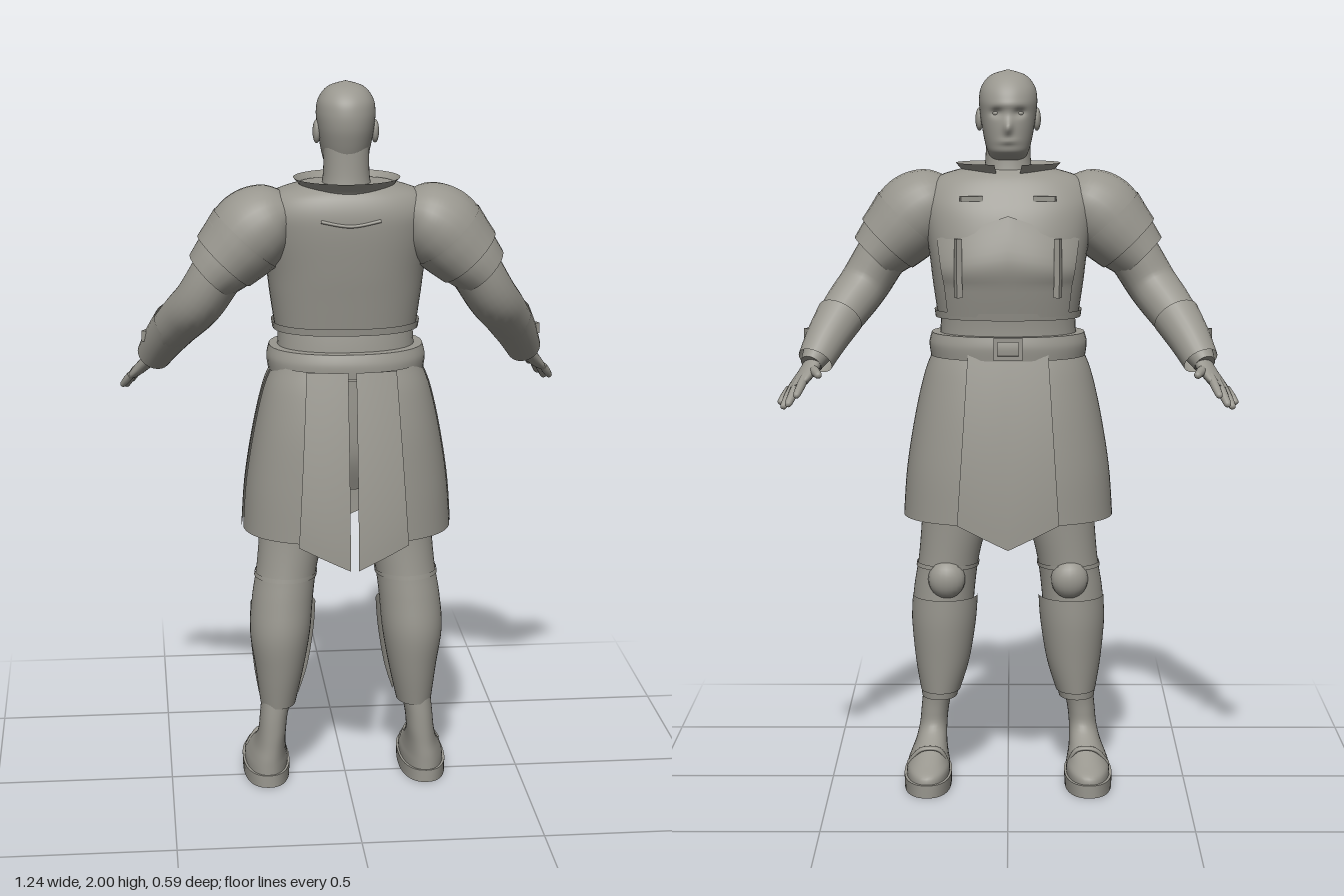
import * as THREE from 'three';

const stone = new THREE.MeshStandardMaterial({ color: 0x99978f, side: THREE.DoubleSide });
stone.name = 'stone grey';

const V = (x, y, z) => new THREE.Vector3(x, y, z);
const lerp = THREE.MathUtils.lerp;
const rad = THREE.MathUtils.degToRad;
const bell = (d, s) => Math.exp(-(d * d) / (s * s));

// Grid surface: fn(u, v) gives a point; wrap closes it along u, caps close both ends.
function surface(nu, nv, fn, wrap = false, caps = false) {
  const pos = [], idx = [], cols = wrap ? nu : nu + 1;
  for (let i = 0; i <= nv; i++)
    for (let j = 0; j < cols; j++) pos.push(...fn(j / nu, i / nv).toArray());
  for (let i = 0; i < nv; i++)
    for (let j = 0; j < nu; j++) {
      const k = (j + 1) % cols, a = i * cols + j, b = a + cols, c = i * cols + k, d = c + cols;
      idx.push(a, b, c, c, b, d);
    }
  if (caps) for (const v of [0, 1]) {
    const base = pos.length / 3, mid = V(0, 0, 0);
    for (let j = 0; j < nu; j++) {
      const p = fn(j / nu, v);
      mid.addScaledVector(p, 1 / nu);
      pos.push(...p.toArray());
    }
    pos.push(...mid.toArray());
    for (let j = 0; j < nu; j++) {
      const a = base + j, b = base + (j + 1) % nu;
      v ? idx.push(base + nu, b, a) : idx.push(base + nu, a, b);
    }
  }
  const g = new THREE.BufferGeometry();
  g.setAttribute('position', new THREE.Float32BufferAttribute(pos, 3));
  g.setIndex(idx);
  g.computeVertexNormals();
  return g;
}

// Smooth interpolation through rows of numbers
function rowAt(rows, t) {
  const f = t * (rows.length - 1), i = Math.min(Math.floor(f), rows.length - 2), u = f - i;
  const at = k => rows[Math.max(0, Math.min(rows.length - 1, k))];
  return rows[0].map((_, c) => {
    const [a, b, d, e] = [at(i - 1)[c], at(i)[c], at(i + 1)[c], at(i + 2)[c]];
    return b + 0.5 * u * (d - a + u * (2 * a - 5 * b + 4 * d - e + u * (3 * (b - d) + e - a)));
  });
}

// Upright loft; each row is [y, centre x, half width, back z, front z]
function loft(rows, { from = 0, to = 360, e = 0.9, caps = false, seg = 40, nv = rows.length * 4, warp } = {}) {
  return surface(seg, nv, (u, v) => {
    const [y, cx, hx, zb, zf] = rowAt(rows, v), a = rad(lerp(from, to, u));
    const c = Math.cos(a), s = Math.sin(a), sq = n => Math.sign(n) * Math.abs(n) ** e;
    const p = V(cx + hx * sq(c), y, (zb + zf) / 2 + (zb - zf) / 2 * sq(s));
    if (warp) warp(p);
    return p;
  }, to - from === 360, caps);
}

// Tube along a curve; each row is [x, y, z, thickness radius, radius along ref]
function limb(rows, { ref = V(0, 0, 1), seg = 24, caps = true } = {}) {
  return surface(seg, rows.length * 4, (u, v) => {
    const r = rowAt(rows, v), p = rowAt(rows, Math.max(0, v - 0.01)), q = rowAt(rows, Math.min(1, v + 0.01));
    const t = V(q[0] - p[0], q[1] - p[1], q[2] - p[2]).normalize();
    const b = ref.clone().addScaledVector(t, -ref.dot(t)).normalize(), n = b.clone().cross(t);
    const a = -u * Math.PI * 2;
    return V(r[0], r[1], r[2]).addScaledVector(n, r[3] * Math.cos(a)).addScaledVector(b, r[4] * Math.sin(a));
  }, true, caps);
}

function mirrored(g) {
  const m = g.clone().scale(-1, 1, 1), ix = m.index.array;
  for (let i = 0; i < ix.length; i += 3) [ix[i], ix[i + 1]] = [ix[i + 1], ix[i]];
  m.computeVertexNormals();
  return m;
}

const ball = (x, y, z, a, b, c) => new THREE.SphereGeometry(1, 20, 14).scale(a, b, c).translate(x, y, z);
const box = (x, y, z, w, h, d, ry = 0) => new THREE.BoxGeometry(w, h, d).rotateY(ry).translate(x, y, z);

export function createModel() {
  const model = new THREE.Group();
  model.name = 'armouredFigure';
  const add = (name, g) => {
    const m = new THREE.Mesh(g, stone);
    m.name = name;
    model.add(m);
  };
  const pair = (name, g) => { add(name + 'Left', g); add(name + 'Right', mirrored(g)); };

  // Head with sculpted brow, eye sockets, nose and lips, facing -z
  add('head', loft([
    [1.755, 0, 0.045, 0.065, -0.03], [1.775, 0, 0.055, 0.08, -0.074], [1.80, 0, 0.063, 0.095, -0.083],
    [1.84, 0, 0.071, 0.11, -0.085], [1.88, 0, 0.077, 0.12, -0.083], [1.92, 0, 0.08, 0.12, -0.082],
    [1.955, 0, 0.073, 0.108, -0.064], [1.985, 0, 0.048, 0.075, -0.03], [2.0, 0, 0.003, 0.025, 0.015],
  ], { seg: 80, nv: 56, e: 0.95, caps: true, warp: p => {
    if (p.z > 0) return;
    const x = Math.abs(p.x), y = p.y;
    p.z += 0.013 * bell(x - 0.032, 0.016) * bell(y - 1.885, 0.011)
      - 0.02 * bell(x, 0.011) * bell(y - 1.845, 0.02) - 0.006 * bell(x, 0.024) * bell(y - 1.808, 0.008)
      - 0.004 * bell(x, 0.05) * bell(y - 1.907, 0.01);
  } }));
  pair('eye', ball(0.032, 1.883, -0.054, 0.012, 0.009, 0.012));
  pair('ear', ball(0.079, 1.865, 0.025, 0.011, 0.032, 0.02));
  add('neck', loft([[1.66, 0, 0.085, 0.12, -0.05], [1.74, 0, 0.064, 0.105, -0.03], [1.83, 0, 0.062, 0.1, -0.025]]));

  // Flared collar, open at the throat
  add('collar', loft([[1.675, 0, 0.115, 0.15, -0.055], [1.71, 0, 0.118, 0.155, -0.06], [1.745, 0, 0.145, 0.185, -0.087]],
    { from: -75, to: 255, e: 1 }));

  // Breastplate with a projecting lower chest plate
  const chest = [
    [1.33, 0, 0.195, 0.14, -0.14], [1.42, 0, 0.208, 0.155, -0.158], [1.50, 0, 0.218, 0.168, -0.165],
    [1.60, 0, 0.235, 0.18, -0.14], [1.66, 0, 0.235, 0.18, -0.11], [1.705, 0, 0.2, 0.165, -0.08],
    [1.73, 0, 0.125, 0.14, -0.05],
  ];
  add('cuirass', loft(chest, { caps: true, seg: 56, e: 0.85 }));
  const grow = (r, d) => [r[0], r[1], r[2] + d, r[3] + d, r[4] - d];
  add('chestPlate', loft([[1.335, 0, 0.2, 0.14, -0.146], [1.41, 0, 0.21, 0.15, -0.164],
    [1.49, 0, 0.222, 0.165, -0.178], [1.61, 0, 0.235, 0.17, -0.143]],
    { from: -142, to: -38, e: 0.8, warp: p => { p.y -= 0.35 * Math.abs(p.x) * Math.max(0, (p.y - 1.42) / 0.2); } }));
  add('cuirassHem', loft([grow([1.325, 0, 0.195, 0.14, -0.14], 0.006), grow([1.345, 0, 0.198, 0.143, -0.144], 0.006)],
    { e: 0.85 }));
  pair('chestClasp', box(0.1, 1.655, -0.112, 0.06, 0.014, 0.02, 0.2));
  pair('chestStrap', box(0.135, 1.47, -0.156, 0.016, 0.16, 0.02, 0.4));
  add('backTrim', limb([[-0.08, 1.645, 0.174, 0.005, 0.008], [0, 1.632, 0.178, 0.005, 0.008], [0.08, 1.645, 0.174, 0.005, 0.008]]));

  // Waist, belt and buckle
  add('waist', loft([[1.2, 0, 0.195, 0.155, -0.125], [1.29, 0, 0.188, 0.145, -0.125], [1.35, 0, 0.185, 0.135, -0.13]]));
  add('belt', loft([[1.215, 0, 0.215, 0.185, -0.15], [1.25, 0, 0.219, 0.185, -0.153], [1.28, 0, 0.212, 0.175, -0.147]],
    { caps: true }));
  for (const s of [-1, 1]) {
    add('buckleSide', box(s * 0.034, 1.25, -0.156, 0.012, 0.062, 0.014));
    add('buckleBar', box(0, 1.25 + s * 0.025, -0.156, 0.07, 0.012, 0.014));
  }

  // Skirt of armour: two panels per side, split back flap, pointed front flap
  const skirt = [
    [0.765, 0, 0.29, 0.245, -0.192], [0.9, 0, 0.28, 0.243, -0.188], [1.05, 0, 0.256, 0.235, -0.172],
    [1.17, 0, 0.228, 0.215, -0.148], [1.235, 0, 0.2, 0.195, -0.128],
  ];
  pair('rearSidePanel', loft(skirt, { from: 3.5, to: 72, e: 0.85, seg: 20 }));
  pair('frontSidePanel', loft(skirt.map(r => grow(r, 0.003)), { from: -74, to: 2.5, e: 0.85, seg: 20 }));
  pair('rearFlap', surface(12, 16, (u, v) => {
    const x = lerp(0.011, lerp(0.15, 0.122, v), 1 - u), k = x / 0.15;
    return V(x, lerp(0.7 + 0.068 * k, 1.24, v), lerp(0.293, 0.215, v ** 1.6) - 0.024 * k * k);
  }));
  add('frontFlap', surface(20, 16, (u, v) => {
    const x = lerp(-1, 1, u) * lerp(0.14, 0.11, v), k = Math.abs(x) / 0.14;
    return V(x, lerp(0.7 + 0.066 * k, 1.235, v), -lerp(0.204, 0.143, v ** 2) + 0.016 * k * k);
  }));
  add('hips', loft([[0.88, 0, 0.15, 0.1, -0.08], [0.98, 0, 0.205, 0.14, -0.11], [1.1, 0, 0.21, 0.15, -0.12],
    [1.23, 0, 0.19, 0.15, -0.12]], { caps: true }));

  // Trouser legs, greaves, knee pads and shoes
  pair('leg', loft([
    [0.235, 0.195, 0.05, 0.098, -0.044], [0.34, 0.19, 0.068, 0.12, -0.058], [0.45, 0.188, 0.085, 0.135, -0.07],
    [0.55, 0.18, 0.086, 0.125, -0.07], [0.64, 0.167, 0.085, 0.113, -0.072], [0.76, 0.148, 0.094, 0.105, -0.08],
    [0.9, 0.135, 0.1, 0.11, -0.09], [1.05, 0.115, 0.105, 0.12, -0.1],
  ], { caps: true, e: 1 }));
  pair('greave', loft([[0.255, 0.192, 0.056, 0.1, -0.055], [0.34, 0.186, 0.076, 0.12, -0.066],
    [0.45, 0.182, 0.09, 0.13, -0.078], [0.53, 0.178, 0.092, 0.125, -0.08]], { from: -178, to: -4, e: 1 }));
  pair('kneePad', ball(0.172, 0.588, -0.055, 0.052, 0.055, 0.042));
  pair('kneeStrap', loft([[0.615, 0.171, 0.088, 0.118, -0.075], [0.627, 0.169, 0.088, 0.116, -0.075]], { e: 1 }));
  pair('shoe', loft([
    [0.03, 0.226, 0.061, 0.1, -0.205], [0.055, 0.225, 0.06, 0.1, -0.198], [0.078, 0.223, 0.053, 0.1, -0.15],
    [0.11, 0.218, 0.044, 0.099, -0.085], [0.15, 0.213, 0.039, 0.099, -0.03], [0.2, 0.208, 0.039, 0.098, -0.024],
    [0.25, 0.2, 0.042, 0.095, -0.03],
  ], { e: 0.9 }));
  pair('sole', loft([[0, 0.226, 0.066, 0.105, -0.212], [0.036, 0.226, 0.067, 0.105, -0.213]], { caps: true, e: 0.85, nv: 2 }));
  pair('shoeStrap', limb([[0.172, 0.062, -0.07, 0.006, 0.012], [0.195, 0.104, -0.09, 0.006, 0.012],
    [0.245, 0.104, -0.09, 0.006, 0.012], [0.28, 0.062, -0.07, 0.006, 0.012]]));

  // Shoulder guards: a rounded cap and two overlapping bands
  pair('shoulderCap', limb([[0.15, 1.665, 0.055, 0.04, 0.07], [0.2, 1.645, 0.055, 0.092, 0.112],
    [0.25, 1.61, 0.055, 0.113, 0.124], [0.3, 1.56, 0.055, 0.108, 0.12]]));
  pair('upperBand', limb([[0.275, 1.585, 0.055, 0.115, 0.125], [0.3, 1.558, 0.055, 0.108, 0.122],
    [0.335, 1.522, 0.055, 0.098, 0.115]], { caps: false }));
  pair('lowerBand', limb([[0.31, 1.545, 0.055, 0.1, 0.113], [0.34, 1.515, 0.055, 0.09, 0.108],
    [0.372, 1.483, 0.053, 0.078, 0.1]], { caps: false }));

  // Arms and bracers
  pair('arm', limb([[0.29, 1.57, 0.055, 0.08, 0.09], [0.35, 1.49, 0.052, 0.073, 0.088], [0.4, 1.41, 0.035, 0.07, 0.078],
    [0.445, 1.35, -0.02, 0.066, 0.068], [0.495, 1.28, -0.095, 0.054, 0.055], [0.535, 1.21, -0.165, 0.03, 0.034]]));
  pair('bracer', limb([[0.463, 1.328, -0.048, 0.066, 0.066], [0.496, 1.274, -0.1, 0.058, 0.058],
    [0.525, 1.218, -0.15, 0.049, 0.05]], { caps: false }));
  pair('bracerBuckle', box(0.545, 1.285, -0.1, 0.014, 0.03, 0.035, 0.5));

  // Hands with spread fingers
  const spread = V(0.75, -0.6, 0.25);
  pair('palm', limb([[0.525, 1.22, -0.15, 0.022, 0.03], [0.545, 1.19, -0.18, 0.019, 0.038],
    [0.565, 1.165, -0.21, 0.016, 0.044], [0.578, 1.15, -0.232, 0.01, 0.036]], { ref: spread }));
  const fingers = [
    ['indexFinger', [0.55, 1.178, -0.228], [0.567, 1.138, -0.294], 0.0115],
    ['middleFinger', [0.568, 1.163, -0.225], [0.591, 1.112, -0.284], 0.012],
    ['ringFinger', [0.582, 1.152, -0.217], [0.606, 1.102, -0.26], 0.0115],
    ['littleFinger', [0.595, 1.143, -0.202], [0.617, 1.11, -0.228], 0.0105],
    ['thumb', [0.53, 1.2, -0.185], [0.507, 1.19, -0.255], 0.0125],
  ];
  for (const [name, a, b, r] of fingers) {
    const at = (t, k) => [0, 1, 2].map(i => lerp(a[i], b[i], t)).concat(r * k, r * k);
    pair(name, limb([at(-0.15, 1), at(0.3, 1.05), at(0.65, 0.95), at(0.92, 0.75), at(1, 0.2)], { ref: spread, seg: 12 }));
  }
  return model;
}
